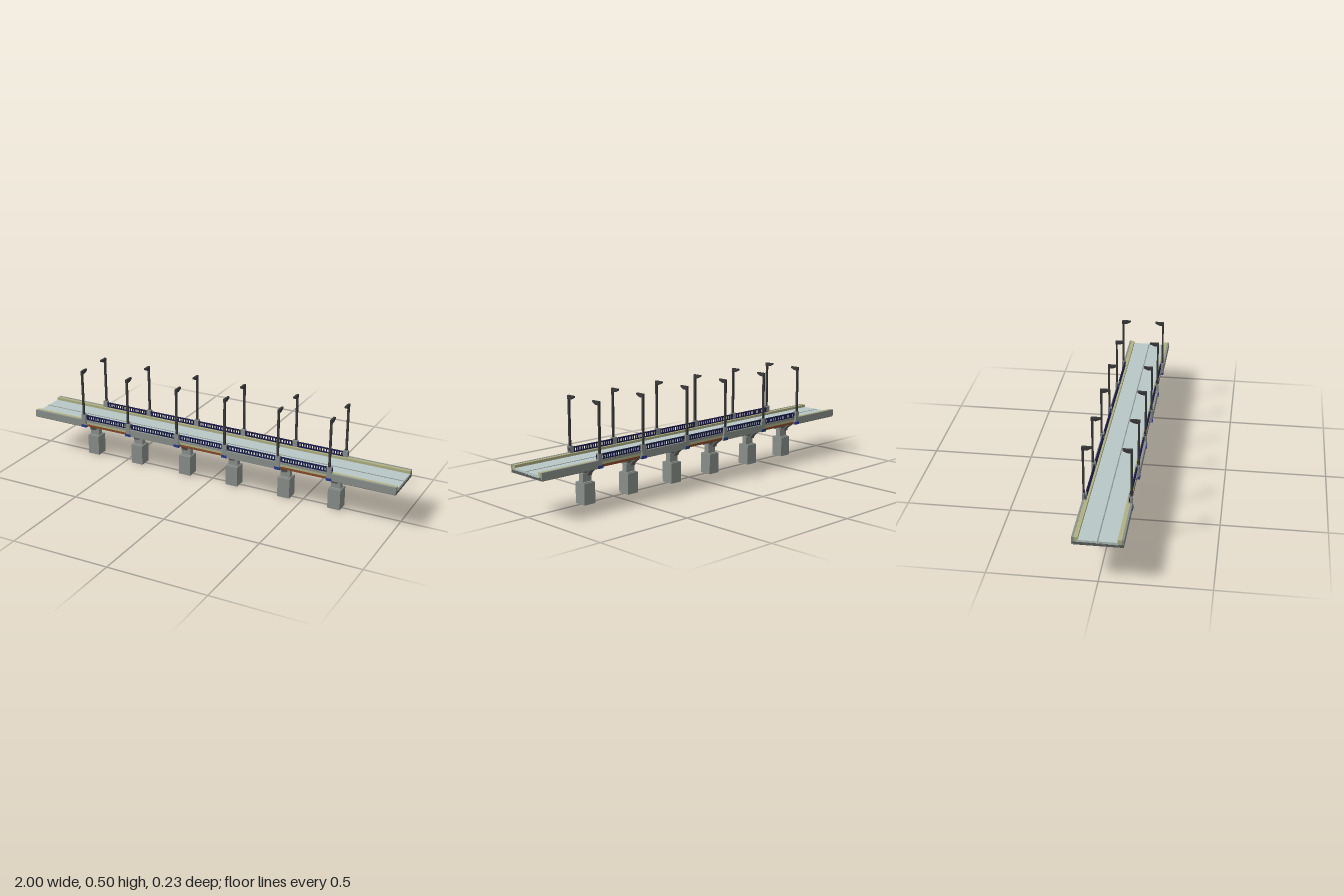
import * as THREE from 'three';

const mat = (color) => new THREE.MeshStandardMaterial({ color });
const concrete = mat(0x8a908c), road = mat(0xb8c8c6), olive = mat(0xb0b184), dark = mat(0x3a3a3a);
const navy = mat(0x1c1c48), blue = mat(0x2a3c90), orange = mat(0x8a4a28), under = mat(0x5c605c);

const PIERS = [-0.697, -0.43, -0.147, 0.12, 0.405, 0.67];

// Box given by its limits on each axis
function box(parent, name, material, x0, x1, y0, y1, z0, z1) {
  const mesh = new THREE.Mesh(new THREE.BoxGeometry(x1 - x0, y1 - y0, Math.abs(z1 - z0)), material);
  mesh.position.set((x0 + x1) / 2, (y0 + y1) / 2, (z0 + z1) / 2);
  mesh.name = name;
  parent.add(mesh);
  return mesh;
}

// Outline in (z, y), extruded along x and centred there
function profile(parent, name, material, points, width, x) {
  const shape = new THREE.Shape(points.map(([z, y]) => new THREE.Vector2(-z, y)));
  const geo = new THREE.ExtrudeGeometry(shape, { depth: width, bevelEnabled: false });
  geo.translate(0, 0, -width / 2).rotateY(Math.PI / 2);
  // after the turn, shape x runs along -z
  const mesh = new THREE.Mesh(geo, material);
  mesh.position.x = x;
  mesh.name = name;
  parent.add(mesh);
}

function addPier(parent, x) {
  const pier = new THREE.Group();
  pier.name = 'pier';
  box(pier, 'footing', concrete, x - 0.032, x + 0.032, 0, 0.103, -0.032, 0.032);
  box(pier, 'plinth', concrete, x - 0.028, x + 0.028, 0.103, 0.106, -0.024, 0.024);
  box(pier, 'lowerColumn', concrete, x - 0.025, x + 0.025, 0.106, 0.148, -0.014, 0.014);
  box(pier, 'upperColumn', under, x - 0.015, x + 0.015, 0.148, 0.187, -0.014, 0.014);
  box(pier, 'crossBeam', concrete, x - 0.015, x + 0.015, 0.185, 0.2, -0.113, 0.113);
  // Curved struts carrying the deck edges
  for (const s of [1, -1]) {
    const strut = [[0.014, 0.139], [0.034, 0.139], [0.037, 0.15], [0.047, 0.16], [0.085, 0.186],
      [0.069, 0.186], [0.036, 0.163], [0.028, 0.154], [0.025, 0.144], [0.014, 0.144]];
    profile(pier, 'strut', under, strut.map(([z, y]) => [s * z, y]), 0.026, x);
  }
  parent.add(pier);
}

function addLamp(parent, x, s) {
  const lamp = new THREE.Group();
  lamp.name = 'lampPost';
  box(lamp, 'pedestal', concrete, x - 0.012, x + 0.012, 0.186, 0.255, s * 0.103, s * 0.1135);
  box(lamp, 'pedestalFoot', blue, x - 0.015, x + 0.015, 0.186, 0.2, s * 0.105, s * 0.115);
  box(lamp, 'railingEndPost', concrete, x - 0.012, x + 0.012, 0.21, 0.255, s * 0.095, s * 0.101);
  box(lamp, 'postCollar', navy, x - 0.014, x + 0.014, 0.232, 0.248, s * 0.097, s * 0.103);
  box(lamp, 'pole', dark, x - 0.005, x + 0.005, 0.25, 0.49, s * 0.1035, s * 0.1125);
  const head = [[0.1135, 0.495], [0.068, 0.495], [0.068, 0.487], [0.089, 0.477], [0.1135, 0.477]];
  profile(lamp, 'lampHead', dark, head.map(([z, y]) => [s * z, y]), 0.011, x);
  parent.add(lamp);
}

function addRailing(parent, x0, x1, s) {
  const rail = new THREE.Group();
  rail.name = 'railing';
  box(rail, 'topRail', navy, x0, x1, 0.244, 0.25, s * 0.096, s * 0.102);
  box(rail, 'bottomRail', navy, x0, x1, 0.223, 0.228, s * 0.096, s * 0.102);
  const n = 18;
  for (let i = 0; i < n; i++) {
    const x = x0 + (x1 - x0) * (i + 0.5) / n;
    box(rail, 'baluster', navy, x - 0.003, x + 0.003, 0.226, 0.246, s * 0.097, s * 0.101);
  }
  parent.add(rail);
}

export function createModel() {
  const bridge = new THREE.Group();
  bridge.name = 'bridge';
  const first = PIERS[0], last = PIERS[PIERS.length - 1];

  // Roadway and its centre line
  box(bridge, 'roadway', road, -1, 1, 0.197, 0.21, -0.09, 0.09);
  box(bridge, 'centreLine', concrete, -1, 1, 0.209, 0.2112, -0.0025, 0.0025);

  // Solid approach at each end, with low side walls
  for (const [x0, x1] of [[-1, first], [last, 1]]) {
    box(bridge, 'approachSlab', under, x0, x1, 0.186, 0.2, -0.113, 0.113);
    for (const s of [1, -1]) {
      box(bridge, 'approachKerb', olive, x0, x1, 0.2, 0.223, s * 0.086, s * 0.104);
      box(bridge, 'approachWall', concrete, x0, x1, 0.188, 0.224, s * 0.104, s * 0.1135);
    }
  }
  for (const s of [1, -1]) {
    box(bridge, 'endPlate', concrete, s > 0 ? 0.998 : -1, s > 0 ? 1 : -0.998, 0.186, 0.2, -0.113, 0.113);
    box(bridge, 'endHatch', under, s > 0 ? 0.999 : -1.001, s > 0 ? 1.001 : -0.999, 0.188, 0.197, -0.057, -0.018);
  }

  // Spans between piers: longitudinal beams, kerbs, railings
  for (let i = 0; i < PIERS.length - 1; i++) {
    const x0 = PIERS[i], x1 = PIERS[i + 1];
    box(bridge, 'spanSlab', under, x0, x1, 0.194, 0.2, -0.1, 0.1);
    for (let k = -4; k <= 4; k++) {
      box(bridge, 'girder', under, x0, x1, 0.187, 0.195, k * 0.021 - 0.006, k * 0.021 + 0.006);
    }
    for (const s of [1, -1]) {
      box(bridge, 'kerb', olive, x0, x1, 0.2, 0.222, s * 0.086, s * 0.102);
      if (i % 2 === 0) {
        box(bridge, 'edgeBeam', orange, x0, x1, 0.188, 0.2, s * 0.094, s * 0.102);
        box(bridge, 'kerbCap', concrete, x0, x1, 0.213, 0.224, s * 0.096, s * 0.105);
      } else {
        box(bridge, 'fascia', concrete, x0, x1, 0.188, 0.224, s * 0.101, s * 0.113);
      }
      addRailing(bridge, x0 + 0.012, x1 - 0.012, s);
    }
  }

  for (const x of PIERS) {
    addPier(bridge, x);
    for (const s of [1, -1]) addLamp(bridge, x, s);
  }
  return bridge;
}
